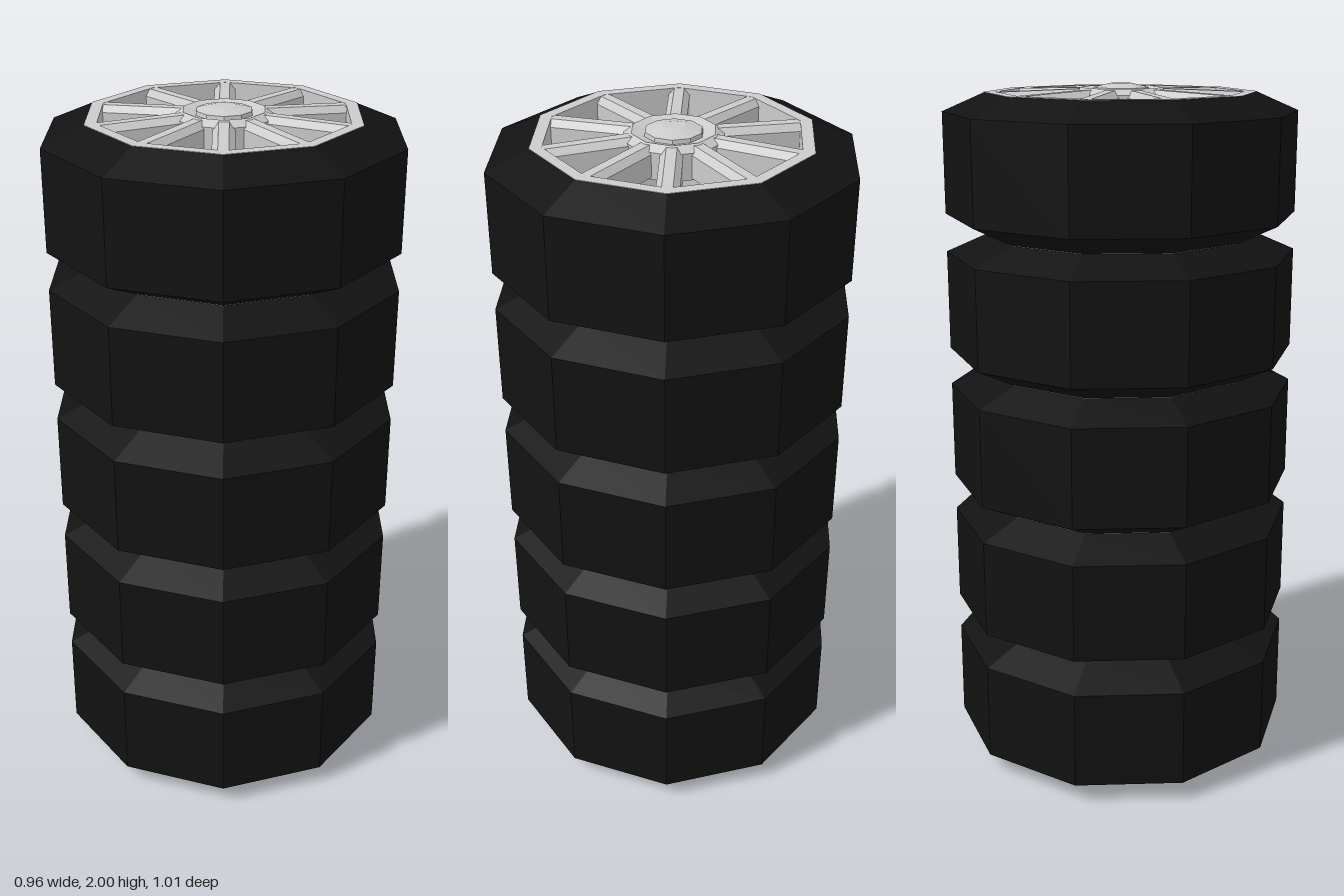
import * as THREE from 'three';

const SIDES = 10;
const PITCH = 0.396; // height of one wheel in the stack

const rubber = new THREE.MeshStandardMaterial({ color: 0x121212, flatShading: true });
const metal = new THREE.MeshStandardMaterial({ color: 0xcccccc, flatShading: true });

// Ten-sided turned part from [radius, height] pairs
function turned(name, profile, material) {
  const points = profile.map(([r, y]) => new THREE.Vector2(r, y));
  const mesh = new THREE.Mesh(new THREE.LatheGeometry(points, SIDES), material);
  mesh.name = name;
  return mesh;
}

// Ridged bar running from the hub out to the rim, sloping gently down
function spokeGeometry() {
  const section = new THREE.Shape([
    [-0.03, 0.33], [0.03, 0.33], [0.03, 0.392], [0.014, 0.41], [-0.014, 0.41], [-0.03, 0.392],
  ].map(([x, y]) => new THREE.Vector2(x, y)));
  const geo = new THREE.ExtrudeGeometry(section, { depth: 0.255, bevelEnabled: false });
  geo.translate(0, 0, 0.108);
  const p = geo.attributes.position;
  for (let i = 0; i < p.count; i++) p.setY(i, p.getY(i) - 0.039 * p.getZ(i));
  geo.computeVertexNormals();
  return geo;
}

function createWheel() {
  const wheel = new THREE.Group();

  // Tyre with chamfered shoulders and a closed back
  wheel.add(turned('tyre', [
    [0, 0], [0.385, 0], [0.505, 0.057], [0.505, 0.344], [0.385, 0.396],
    [0.37, 0.36], [0.37, 0.03], [0, 0.03],
  ], rubber));

  // Rim lip and inner barrel
  wheel.add(turned('rim', [[0.386, 0.392], [0.386, 0.397], [0.352, 0.397], [0.352, 0.03]], metal));

  // Hub: outer collar, funnel-shaped groove, domed cap
  wheel.add(turned('hub', [
    [0, 0.32], [0.14, 0.32], [0.14, 0.393], [0.115, 0.409], [0.08, 0.398],
    [0.078, 0.409], [0.032, 0.42], [0, 0.42],
  ], metal));

  // Spokes point at the corners of the rim
  const spokeGeo = spokeGeometry();
  for (let i = 0; i < SIDES; i++) {
    const spoke = new THREE.Mesh(spokeGeo, metal);
    spoke.name = 'spoke';
    spoke.rotation.y = (i / SIDES) * Math.PI * 2;
    wheel.add(spoke);
  }
  return wheel;
}

export function createModel() {
  const model = new THREE.Group();
  model.name = 'wheelStack';
  for (let i = 0; i < 5; i++) {
    const wheel = createWheel();
    wheel.name = 'wheel';
    wheel.position.y = i * PITCH;
    model.add(wheel);
  }
  return model;
}
